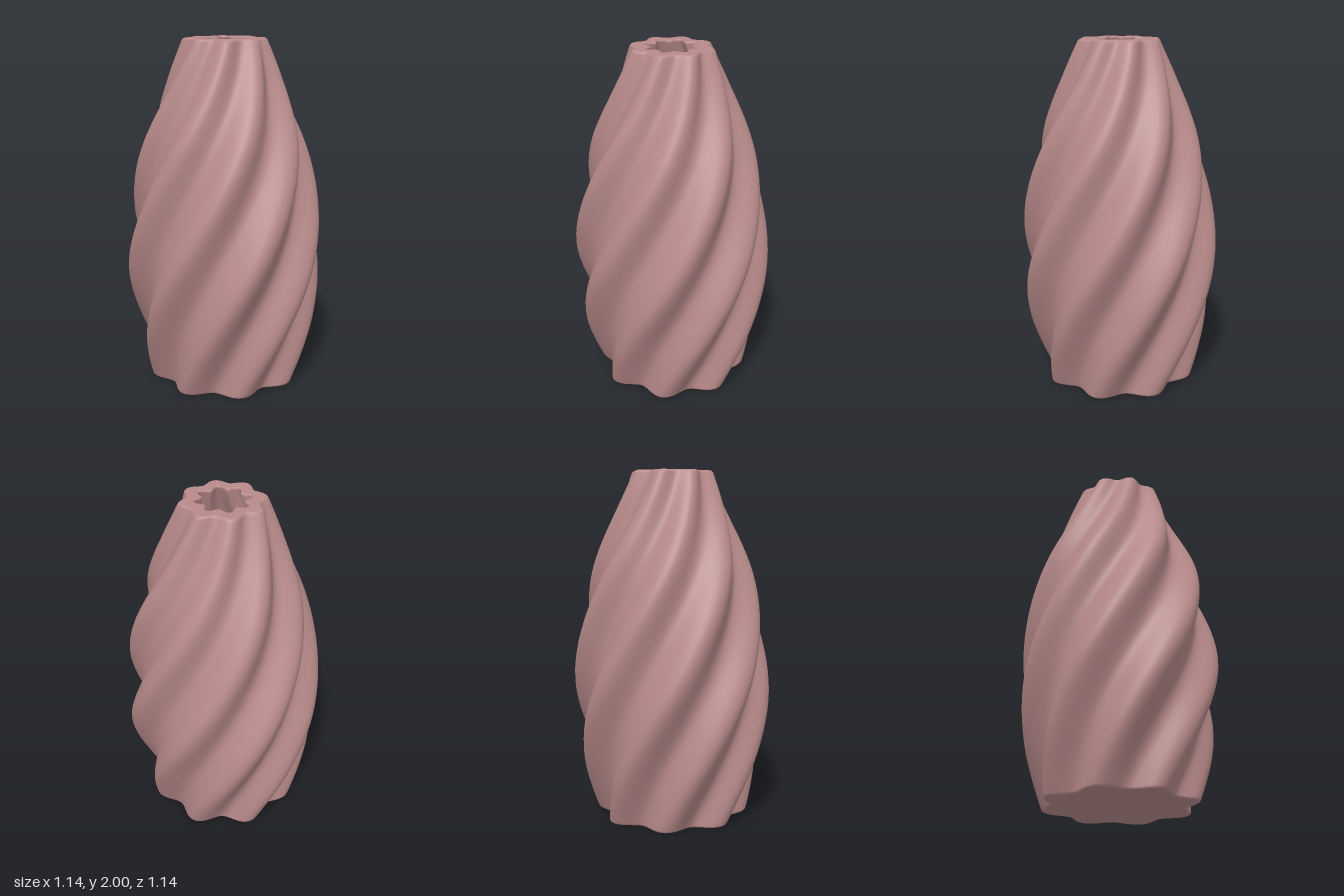
import * as THREE from 'three';

const LOBES = 8, SEGMENTS = 192, HEIGHT = 2;
const TWIST = 1.1;      // radians per unit of height
const DEPTH = 0.09;     // flute depth relative to the radius
const WALL = 0.087, BEVEL = 0.014, FLOOR = 0.1;

// Ridge radius against height
const profile = new THREE.SplineCurve([
  [0, 0.442], [0.36, 0.53], [0.72, 0.572], [1.08, 0.545],
  [1.43, 0.467], [1.79, 0.322], [2, 0.235],
].map(([y, r]) => new THREE.Vector2(y, r)));
const samples = profile.getPoints(240);

function ridgeRadius(y) {
  let i = 1;
  while (i < samples.length - 1 && samples[i].x < y) i++;
  const a = samples[i - 1], b = samples[i];
  return a.y + (b.y - a.y) * (y - a.x) / (b.x - a.x);
}

// Skin over twisted, fluted rings; each ring is { y, inset, scale }
function flutedSkin(rings) {
  const position = [], index = [];
  for (const { y, inset, scale = 1 } of rings) {
    const mean = ridgeRadius(y) / (1 + DEPTH);
    for (let j = 0; j < SEGMENTS; j++) {
      const t = (j / SEGMENTS) * Math.PI * 2;
      const r = (mean * (1 + DEPTH * Math.cos(LOBES * t)) - inset) * scale;
      const angle = t - TWIST * y;
      position.push(r * Math.cos(angle), y, r * Math.sin(angle));
    }
  }
  for (let i = 0; i < rings.length - 1; i++) {
    for (let j = 0; j < SEGMENTS; j++) {
      const a = i * SEGMENTS + j, b = i * SEGMENTS + (j + 1) % SEGMENTS;
      const c = a + SEGMENTS, d = b + SEGMENTS;
      index.push(a, c, b, b, c, d);
    }
  }
  const geometry = new THREE.BufferGeometry();
  geometry.setAttribute('position', new THREE.Float32BufferAttribute(position, 3));
  geometry.setIndex(index);
  geometry.computeVertexNormals();
  return geometry;
}

// Rings of a wall from y0 to y1
function wallRings(y0, y1, inset, steps) {
  return Array.from({ length: steps + 1 }, (_, i) => ({ y: y0 + (y1 - y0) * i / steps, inset }));
}

// Quarter-round edge: k = 0 on the wall, k = 1 on the flat face
function bevelRing(k, edgeY, direction, inset, side) {
  const a = k * Math.PI / 2;
  return {
    y: edgeY + direction * BEVEL * (1 - Math.sin(a)),
    inset: inset + side * BEVEL * (1 - Math.cos(a)),
  };
}

export function createModel() {
  const group = new THREE.Group();
  group.name = 'twistedVase';
  const clay = new THREE.MeshStandardMaterial({ color: 0xb88a8a });
  clay.name = 'dusty rose';
  const add = (name, rings) => {
    const mesh = new THREE.Mesh(flutedSkin(rings), clay);
    mesh.name = name;
    group.add(mesh);
  };
  const steps = [0, 0.25, 0.5, 0.75, 1];

  // Flat underside
  add('base', [{ y: 0, inset: BEVEL, scale: 0 }, { y: 0, inset: BEVEL }]);

  // Spiral fluted body with softened edges
  add('outerWall', [
    ...[...steps].reverse().map(k => bevelRing(k, 0, 1, 0, 1)),
    ...wallRings(BEVEL, HEIGHT - BEVEL, 0, 110).slice(1, -1),
    ...steps.map(k => bevelRing(k, HEIGHT, -1, 0, 1)),
  ]);

  // Flat top ring
  add('rim', [{ y: HEIGHT, inset: BEVEL }, { y: HEIGHT, inset: WALL - BEVEL }]);

  // Hollow inside following the body
  add('innerWall', [
    ...[...steps].reverse().map(k => bevelRing(k, HEIGHT, -1, WALL, -1)),
    ...wallRings(HEIGHT - BEVEL, FLOOR, WALL, 80).slice(1),
  ]);

  // Inside floor
  add('innerFloor', [{ y: FLOOR, inset: WALL }, { y: FLOOR, inset: WALL, scale: 0 }]);

  return group;
}
